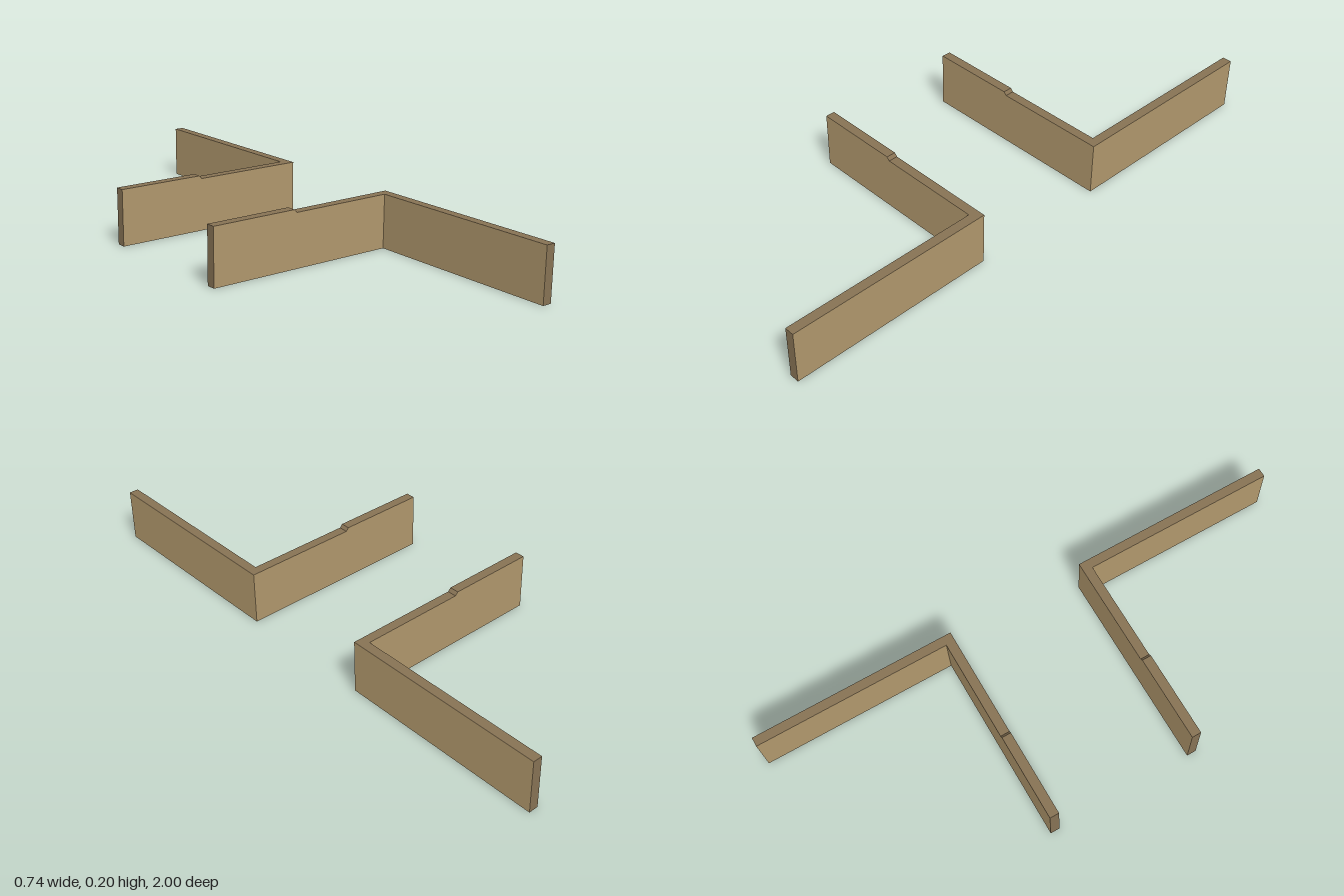
import * as THREE from 'three';

const LEFT = -0.368, RIGHT = 0.368, THICK = 0.034;
const INNER = 0.254, OUTER = 1;
const LOW = 0.191, HIGH = 0.202;

// Sort triangles into wall (0) and trim (1) groups by their face normal
function paint(source, isTrim) {
  const geometry = source.index ? source.toNonIndexed() : source;
  geometry.computeVertexNormals();
  geometry.clearGroups();
  const normal = geometry.attributes.normal;
  for (let i = 0; i < normal.count; i += 3) {
    const trim = isTrim(normal.getX(i), normal.getY(i), normal.getZ(i));
    geometry.addGroup(i, 3, trim ? 1 : 0);
  }
  return geometry;
}

export function createModel() {
  const wall = new THREE.MeshStandardMaterial({ color: 0xb0976c });
  wall.name = 'tan wall';
  const trim = new THREE.MeshStandardMaterial({ color: 0x867254 });
  trim.name = 'brown trim';
  const materials = [wall, trim];

  // Stepped side profile of the wall that runs along x
  const profile = new THREE.Shape([
    [LEFT, 0], [RIGHT - THICK, 0], [RIGHT - THICK, LOW],
    [-0.042, LOW], [-0.052, HIGH], [LEFT, HIGH],
  ].map(([x, y]) => new THREE.Vector2(x, y)));

  const model = new THREE.Group();
  model.name = 'cornerWalls';

  for (const side of [1, -1]) {
    const corner = new THREE.Group();
    corner.name = side > 0 ? 'frontCorner' : 'backCorner';

    // Stepped wall, trimmed on its top and free end
    const stepped = new THREE.ExtrudeGeometry(profile, { depth: THICK, bevelEnabled: false });
    stepped.translate(0, 0, side > 0 ? INNER : -INNER - THICK);
    const steppedWall = new THREE.Mesh(
      paint(stepped, (x, y) => y > 0.3 || x < -0.5), materials);
    steppedWall.name = 'steppedWall';

    // Straight wall along z, including the corner
    const straight = new THREE.BoxGeometry(THICK, LOW, OUTER - INNER);
    straight.translate(RIGHT - THICK / 2, LOW / 2, side * (OUTER + INNER) / 2);
    const straightWall = new THREE.Mesh(
      paint(straight, (x, y, z) => y > 0.5 || z * side > 0.5), materials);
    straightWall.name = 'straightWall';

    corner.add(steppedWall, straightWall);
    model.add(corner);
  }
  return model;
}
